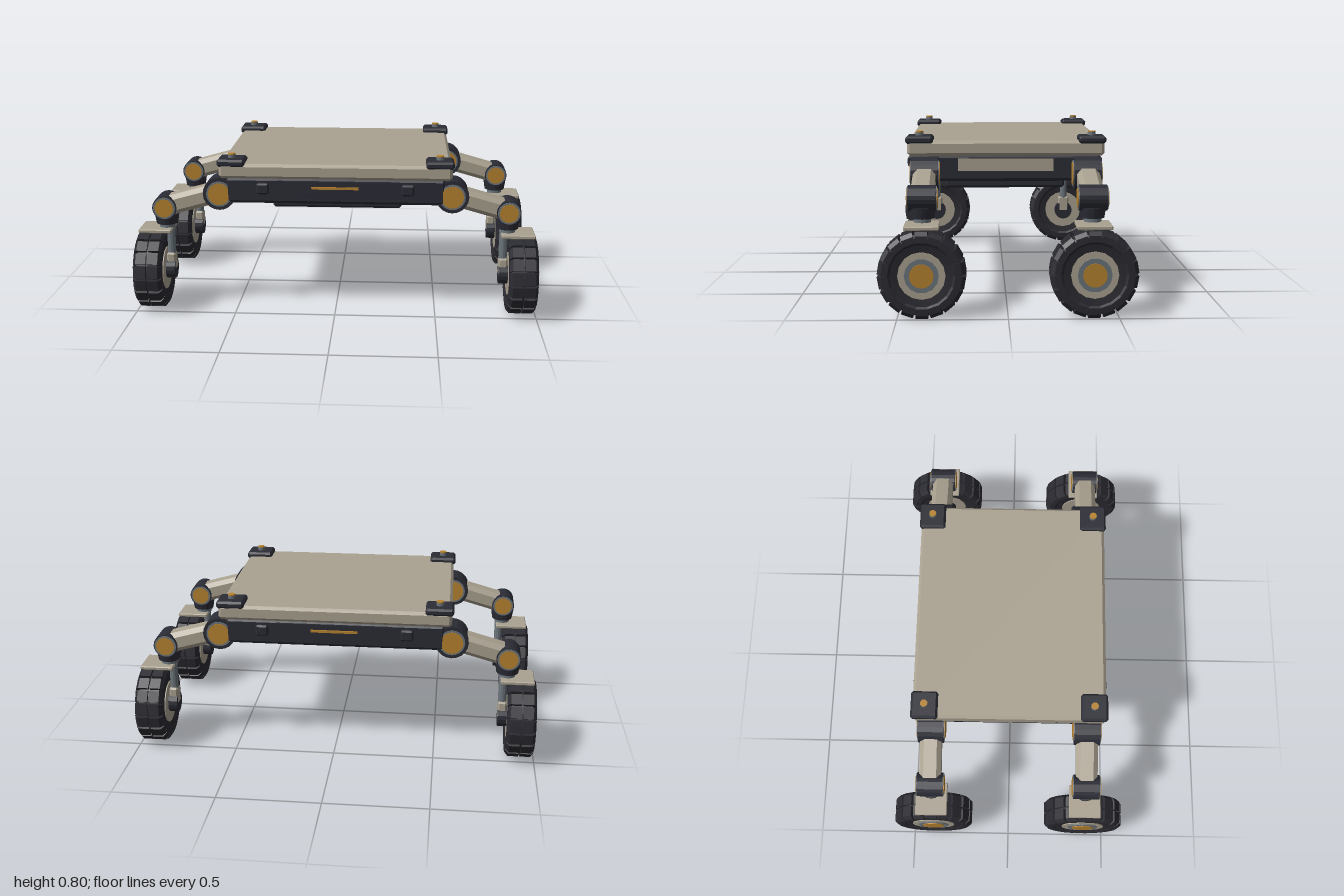
import * as THREE from 'three';
import { ConvexGeometry } from 'three/addons/geometries/ConvexGeometry.js';
import { mergeGeometries } from 'three/addons/utils/BufferGeometryUtils.js';

const paint = (name, color) => Object.assign(new THREE.MeshStandardMaterial({ color }), { name });

// Box with all twelve edges chamfered by c
function chamferBox(w, h, d, c) {
  const pts = [];
  for (const x of [-1, 1]) for (const y of [-1, 1]) for (const z of [-1, 1]) {
    const a = w / 2, b = h / 2, e = d / 2;
    pts.push(
      new THREE.Vector3(x * a, y * (b - c), z * (e - c)),
      new THREE.Vector3(x * (a - c), y * b, z * (e - c)),
      new THREE.Vector3(x * (a - c), y * (b - c), z * e));
  }
  return new ConvexGeometry(pts);
}

// Faceted cylinder along a chosen axis
function rod(r, length, axis = 'y', sides = 20, r2 = r) {
  const g = new THREE.CylinderGeometry(r, r2, length, sides).toNonIndexed();
  if (axis === 'x') g.rotateZ(-Math.PI / 2);
  if (axis === 'z') g.rotateX(Math.PI / 2);
  g.computeVertexNormals();
  return g;
}

function add(parent, name, geometry, material, x = 0, y = 0, z = 0) {
  const m = new THREE.Mesh(geometry, material);
  m.name = name;
  m.position.set(x, y, z);
  parent.add(m);
  return m;
}

// Tyre body turned around the x axis
function tyreGeometry() {
  const profile = [[0.1, -0.06], [0.15, -0.067], [0.172, -0.064], [0.184, -0.05],
    [0.184, 0.05], [0.172, 0.064], [0.15, 0.067], [0.1, 0.06]];
  const g = new THREE.LatheGeometry(profile.map(p => new THREE.Vector2(...p)), 36).toNonIndexed();
  g.rotateZ(-Math.PI / 2);
  g.computeVertexNormals();
  return g;
}

// Two rows of tread blocks with sloping shoulders
function treadGeometry(count = 18) {
  const half = [[0.004, 0.17], [0.052, 0.17], [0.066, 0.14], [0.071, 0.15], [0.07, 0.18], [0.055, 0.198], [0.004, 0.198]];
  const blocks = [];
  for (const side of [-1, 1]) {
    const shape = new THREE.Shape(half.map(([a, r]) => new THREE.Vector2(side * a, r)));
    const block = new THREE.ExtrudeGeometry(shape, { depth: 0.056, bevelEnabled: false });
    block.translate(0, 0, -0.028);
    for (let i = 0; i < count; i++) blocks.push(block.clone().rotateX(i / count * Math.PI * 2));
  }
  return mergeGeometries(blocks);
}

export function createModel() {
  const beige = paint('warm beige', 0xaaa190);
  const dark = paint('dark shell', 0x2b2c35);
  const rubber = paint('rubber', 0x2a2a31);
  const steel = paint('steel grey', 0x6c767d);
  const amber = paint('amber', 0xb78330);

  const model = new THREE.Group();
  model.name = 'rover';

  // Chassis
  const chassis = new THREE.Group();
  chassis.name = 'chassis';
  model.add(chassis);
  add(chassis, 'body', chamferBox(1.08, 0.13, 0.92, 0.015), dark, 0, 0.629, 0);
  add(chassis, 'deck', chamferBox(1.14, 0.073, 0.948, 0.014), beige, 0, 0.727, 0);
  add(chassis, 'bellyTray', chamferBox(0.65, 0.06, 0.6, 0.012), dark, 0, 0.533, 0);
  for (const s of [-1, 1]) {
    add(chassis, 'endPanel', new THREE.BoxGeometry(0.57, 0.085, 0.012), dark, 0, 0.638, s * 0.462);
    add(chassis, 'lightStrip', new THREE.BoxGeometry(0.23, 0.012, 0.008), amber, 0, 0.648, s * 0.471);
    add(chassis, 'sidePanel', new THREE.BoxGeometry(0.009, 0.06, 0.46), beige, s * 0.543, 0.645, 0);
    for (const t of [-1, 1]) {
      add(chassis, 'sensor', chamferBox(0.062, 0.055, 0.04, 0.008), dark, t * 0.355, 0.642, s * 0.461);
      add(chassis, 'sensorLens', rod(0.015, 0.008, 'z', 12), dark, t * 0.355, 0.642, s * 0.48);
      // Corner pads with a bolt
      add(chassis, 'cornerPad', chamferBox(0.136, 0.036, 0.132, 0.01), dark, t * 0.51, 0.767, s * 0.415);
      add(chassis, 'bolt', rod(0.019, 0.02, 'y', 12), steel, t * 0.51, 0.79, s * 0.415);
      add(chassis, 'boltCap', rod(0.018, 0.008, 'y', 12), amber, t * 0.51, 0.802, s * 0.415);
    }
  }

  const tyre = tyreGeometry(), tread = treadGeometry();

  // Pivot drum with a ringed cap on both faces
  function joint(parent, name, x, y, r, length, capRadius) {
    const g = new THREE.Group();
    g.name = name;
    g.position.set(x, y, 0);
    parent.add(g);
    add(g, 'drum', rod(r, length, 'z', 20), dark);
    add(g, 'capRing', rod(capRadius + 0.009, length + 0.008, 'z', 20), steel);
    add(g, 'cap', rod(capRadius, length + 0.014, 'z', 20), amber);
  }

  // One leg reaching out along +x
  function leg() {
    const g = new THREE.Group();
    joint(g, 'hip', 0.573, 0.607, 0.081, 0.128, 0.055);
    const arm = add(g, 'arm', chamferBox(0.27, 0.098, 0.108, 0.022), beige, 0.712, 0.569, 0);
    arm.rotation.z = Math.atan2(-0.077, 0.277);
    joint(g, 'elbow', 0.85, 0.53, 0.06, 0.128, 0.046);
    // Steering column
    add(g, 'steeringHousing', rod(0.062, 0.05, 'y', 16, 0.054), dark, 0.85, 0.465);
    add(g, 'steeringShaft', rod(0.04, 0.03, 'y', 16), steel, 0.85, 0.43);
    add(g, 'fender', chamferBox(0.165, 0.019, 0.16, 0.004), beige, 0.9, 0.412);
    add(g, 'strut', rod(0.021, 0.2, 'y', 12), steel, 0.833, 0.31);
    add(g, 'strutClamp', chamferBox(0.044, 0.09, 0.062, 0.008), beige, 0.834, 0.24);
    add(g, 'axleHousing', rod(0.052, 0.055, 'x', 16), dark, 0.841, 0.2);

    // Wheel
    const wheel = new THREE.Group();
    wheel.name = 'wheel';
    wheel.position.set(0.925, 0.2, 0);
    g.add(wheel);
    add(wheel, 'tyre', tyre, rubber);
    add(wheel, 'tread', tread, rubber);
    add(wheel, 'rim', rod(0.108, 0.132, 'x', 16), beige);
    add(wheel, 'hubRing', rod(0.078, 0.07, 'x', 14), steel, 0.035);
    add(wheel, 'hubCap', rod(0.055, 0.074, 'x', 16), amber, 0.037);
    return g;
  }

  for (const x of [-1, 1]) for (const z of [-1, 1]) {
    const l = leg();
    l.name = (z > 0 ? 'front' : 'rear') + (x > 0 ? 'Left' : 'Right') + 'Leg';
    l.position.z = z * 0.388;
    if (x < 0) l.rotation.y = Math.PI;
    model.add(l);
  }
  return model;
}
